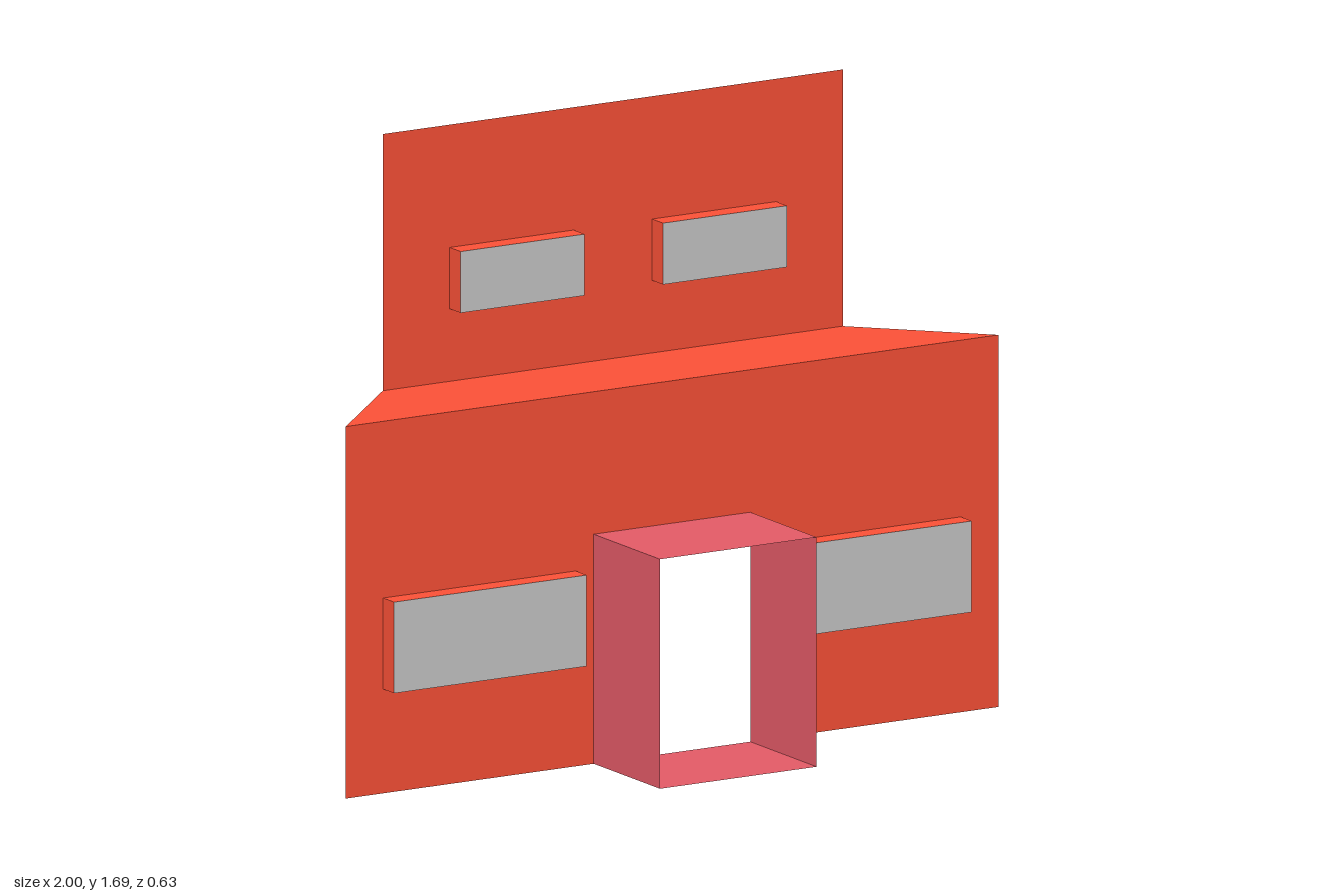
import * as THREE from 'three';

const sheet = (color) => new THREE.MeshStandardMaterial({ color, side: THREE.DoubleSide, flatShading: true });

// Rectangle given as [x0, x1, y0, y1]
function trace(path, [x0, x1, y0, y1]) {
  return path.moveTo(x0, y0).lineTo(x1, y0).lineTo(x1, y1).lineTo(x0, y1).closePath();
}

// Open rectangular tube running from z0 to z1 around a rectangle
function sleeveGeometry([x0, x1, y0, y1], z0, z1) {
  const ring = [[x0, y0], [x1, y0], [x1, y1], [x0, y1]];
  const pos = [];
  ring.forEach(([ax, ay], i) => {
    const [bx, by] = ring[(i + 1) % 4];
    pos.push(ax, ay, z0, bx, by, z0, bx, by, z1, ax, ay, z0, bx, by, z1, ax, ay, z1);
  });
  const geo = new THREE.BufferGeometry();
  geo.setAttribute('position', new THREE.Float32BufferAttribute(pos, 3));
  geo.computeVertexNormals();
  return geo;
}

export function createModel() {
  const model = new THREE.Group();
  model.name = 'buildingFront';
  const red = sheet(0xff5238), rose = sheet(0xe75c68), grey = sheet(0xcccccc);
  const frontZ = -0.018, backZ = -0.315, porchZ = 0.315, bay = 0.055, ledgeY = 1;

  function add(parent, name, geometry, material) {
    const mesh = new THREE.Mesh(geometry, material);
    mesh.name = name;
    parent.add(mesh);
    return mesh;
  }

  // Window openings, mirrored left and right
  const mirrored = ([x0, x1, y0, y1]) => [[x0, x1, y0, y1], [-x1, -x0, y0, y1]];
  const lowerWindows = mirrored([0.295, 0.885, 0.28, 0.525]);
  const upperWindows = mirrored([0.12, 0.5, 1.195, 1.36]);
  const door = [-0.24, 0.24, 0, 0.617];

  // Lower wall, notched by the doorway
  const lower = new THREE.Shape();
  [[-1, 0], [door[0], 0], [door[0], door[3]], [door[1], door[3]], [door[1], 0], [1, 0], [1, ledgeY], [-1, ledgeY]]
    .forEach(([x, y], i) => (i ? lower.lineTo(x, y) : lower.moveTo(x, y)));
  lower.closePath();
  lower.holes = lowerWindows.map((r) => trace(new THREE.Path(), r));
  add(model, 'lowerWall', new THREE.ShapeGeometry(lower).translate(0, 0, frontZ), red);

  // Upper wall, set back
  const upper = trace(new THREE.Shape(), [-0.705, 0.705, ledgeY, 1.69]);
  upper.holes = upperWindows.map((r) => trace(new THREE.Path(), r));
  add(model, 'upperWall', new THREE.ShapeGeometry(upper).translate(0, 0, backZ), red);

  // Tapered ledge joining the two walls
  const ledge = new THREE.Shape();
  ledge.moveTo(-1, -frontZ).lineTo(1, -frontZ).lineTo(0.705, -backZ).lineTo(-0.705, -backZ).closePath();
  add(model, 'ledge', new THREE.ShapeGeometry(ledge).rotateX(-Math.PI / 2).translate(0, ledgeY, 0), red);

  // Projecting windows: open sleeve with a pane at its front
  function addWindow(name, r, z) {
    const group = new THREE.Group();
    group.name = name;
    add(group, 'windowFrame', sleeveGeometry(r, z, z + bay), red);
    const pane = new THREE.ShapeGeometry(trace(new THREE.Shape(), r));
    add(group, 'windowPane', pane.translate(0, 0, z + bay), grey);
    model.add(group);
  }
  ['Left', 'Right'].forEach((side, i) => {
    addWindow('lowerWindow' + side, lowerWindows[i], frontZ);
    addWindow('upperWindow' + side, upperWindows[i], backZ);
  });

  // Entrance passage, open at both ends
  add(model, 'entrancePassage', sleeveGeometry(door, frontZ, porchZ), rose);

  return model;
}
